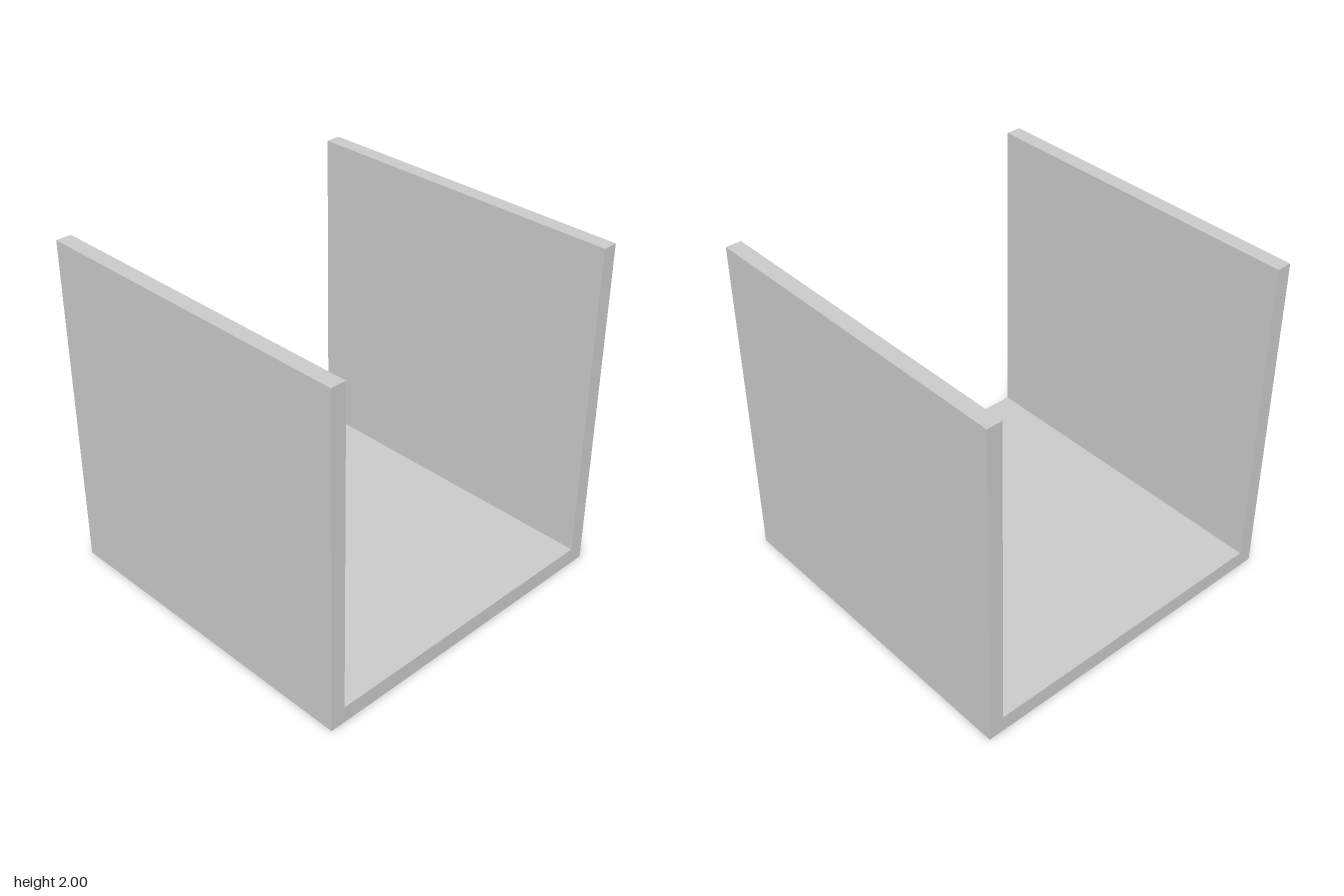
import * as THREE from 'three';

const SIZE = 2;
const WALL = 0.09;
const FLOOR = 0.1;

export function createModel() {
  const group = new THREE.Group();
  group.name = 'channel';
  const material = new THREE.MeshStandardMaterial({ color: 0xcccccc });

  // U-shaped cross-section: floor with two upright walls
  const h = SIZE / 2;
  const inner = h - WALL;
  const profile = new THREE.Shape([
    [-h, 0], [h, 0], [h, SIZE], [inner, SIZE],
    [inner, FLOOR], [-inner, FLOOR], [-inner, SIZE], [-h, SIZE],
  ].map(([x, y]) => new THREE.Vector2(x, y)));

  // Run the section from back to front
  const geometry = new THREE.ExtrudeGeometry(profile, { depth: SIZE, bevelEnabled: false });
  geometry.translate(0, 0, -h);

  const channel = new THREE.Mesh(geometry, material);
  channel.name = 'floorAndSideWalls';
  group.add(channel);
  return group;
}
